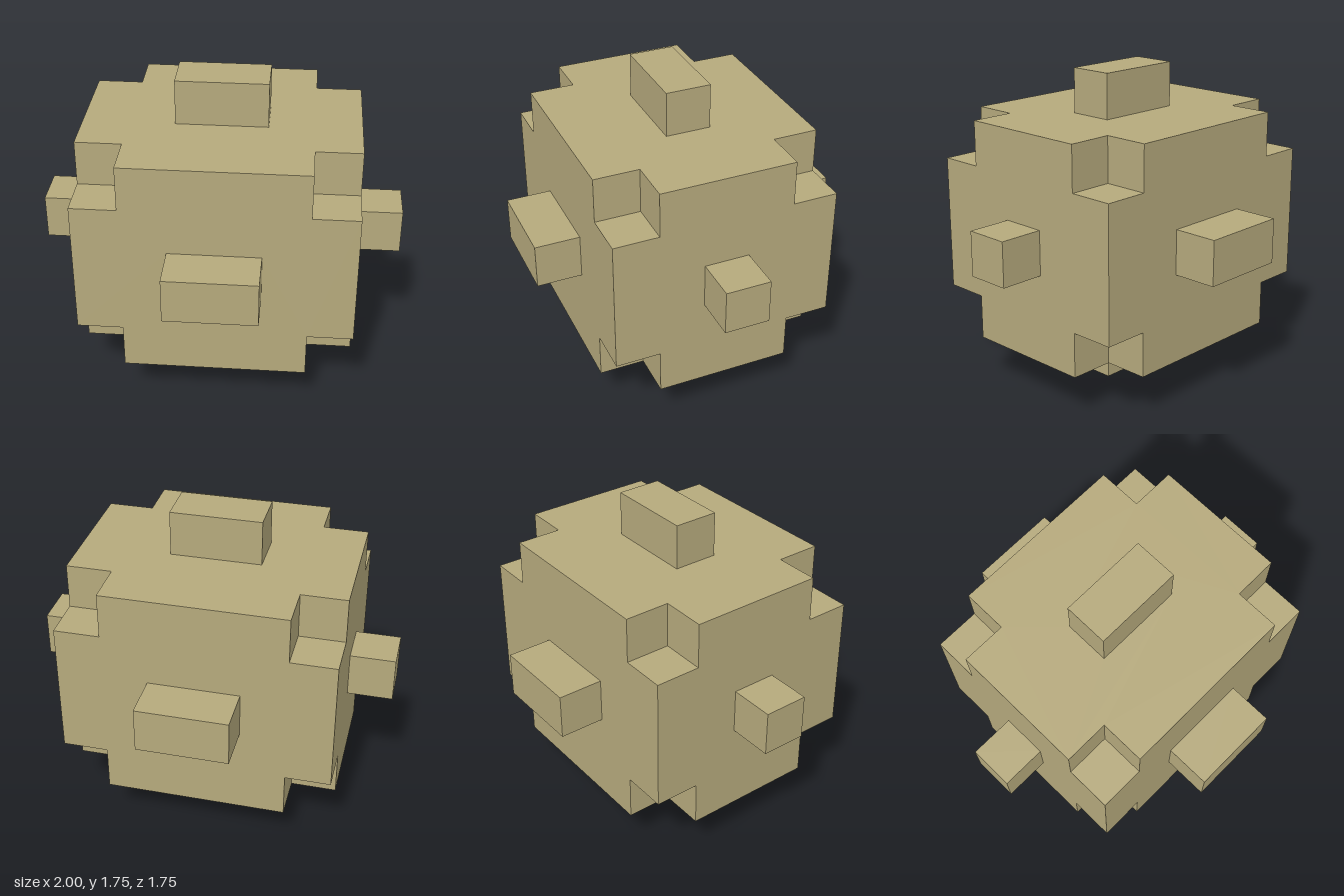
import * as THREE from 'three';
import { mergeGeometries } from 'three/addons/utils/BufferGeometryUtils.js';

const NOTCH = 0.25; // cube cut from every corner
const KNOB = 0.25; // height and depth of each knob
const CENTRE_Y = 0.875;

// Each side: half width, half height, distance from centre, knob width, rotation from +z
const SIDES = [
  { name: 'front', w: 0.75, h: 0.625, d: 0.625, knob: 0.5, rot: [0, 0] },
  { name: 'back', w: 0.75, h: 0.625, d: 0.625, knob: 0.5, rot: [0, Math.PI] },
  { name: 'left', w: 0.625, h: 0.625, d: 0.75, knob: 0.25, rot: [0, Math.PI / 2] },
  { name: 'right', w: 0.625, h: 0.625, d: 0.75, knob: 0.25, rot: [0, -Math.PI / 2] },
  { name: 'top', w: 0.75, h: 0.625, d: 0.625, knob: 0.5, rot: [-Math.PI / 2, 0] },
  { name: 'bottom', w: 0.75, h: 0.625, d: 0.625, knob: 0.5, rot: [Math.PI / 2, 0] },
];

// Cross-shaped face with an opening where the knob joins
function panel({ w, h, d, knob }) {
  const a = w - NOTCH, b = h - NOTCH;
  const outline = [
    [-a, -h], [a, -h], [a, -b], [w, -b], [w, b], [a, b],
    [a, h], [-a, h], [-a, b], [-w, b], [-w, -b], [-a, -b],
  ];
  const shape = new THREE.Shape(outline.map(([x, y]) => new THREE.Vector2(x, y)));
  const k = knob / 2, l = KNOB / 2;
  shape.holes.push(new THREE.Path([[-k, -l], [-k, l], [k, l], [k, -l]]
    .map(([x, y]) => new THREE.Vector2(x, y))));
  return new THREE.ShapeGeometry(shape).translate(0, 0, d);
}

// Four recessed squares, the notch walls that face the same way as the panel
function notchWalls({ w, h, d }) {
  const walls = [];
  for (const sx of [-1, 1]) for (const sy of [-1, 1]) {
    walls.push(new THREE.PlaneGeometry(NOTCH, NOTCH)
      .translate(sx * (w - NOTCH / 2), sy * (h - NOTCH / 2), d - NOTCH));
  }
  return walls;
}

// Box without its hidden base
function knobGeometry({ knob, d }) {
  const box = new THREE.BoxGeometry(knob, KNOB, NOTCH).translate(0, 0, d + NOTCH / 2);
  box.setIndex(Array.from(box.index.array).slice(0, 30));
  box.clearGroups();
  return box;
}

export function createModel() {
  const model = new THREE.Group();
  model.name = 'notchedBlock';
  const material = new THREE.MeshStandardMaterial({ color: 0xb5a97c });

  const add = (geometry, name) => {
    const mesh = new THREE.Mesh(geometry, material);
    mesh.name = name;
    mesh.position.y = CENTRE_Y;
    model.add(mesh);
  };

  const bodyParts = [];
  for (const side of SIDES) {
    const turn = (g) => g.rotateX(side.rot[0]).rotateY(side.rot[1]);
    bodyParts.push(...[panel(side), ...notchWalls(side)].map(turn));
    add(turn(knobGeometry(side)), side.name + 'Knob');
  }
  add(mergeGeometries(bodyParts), 'body');

  return model;
}
